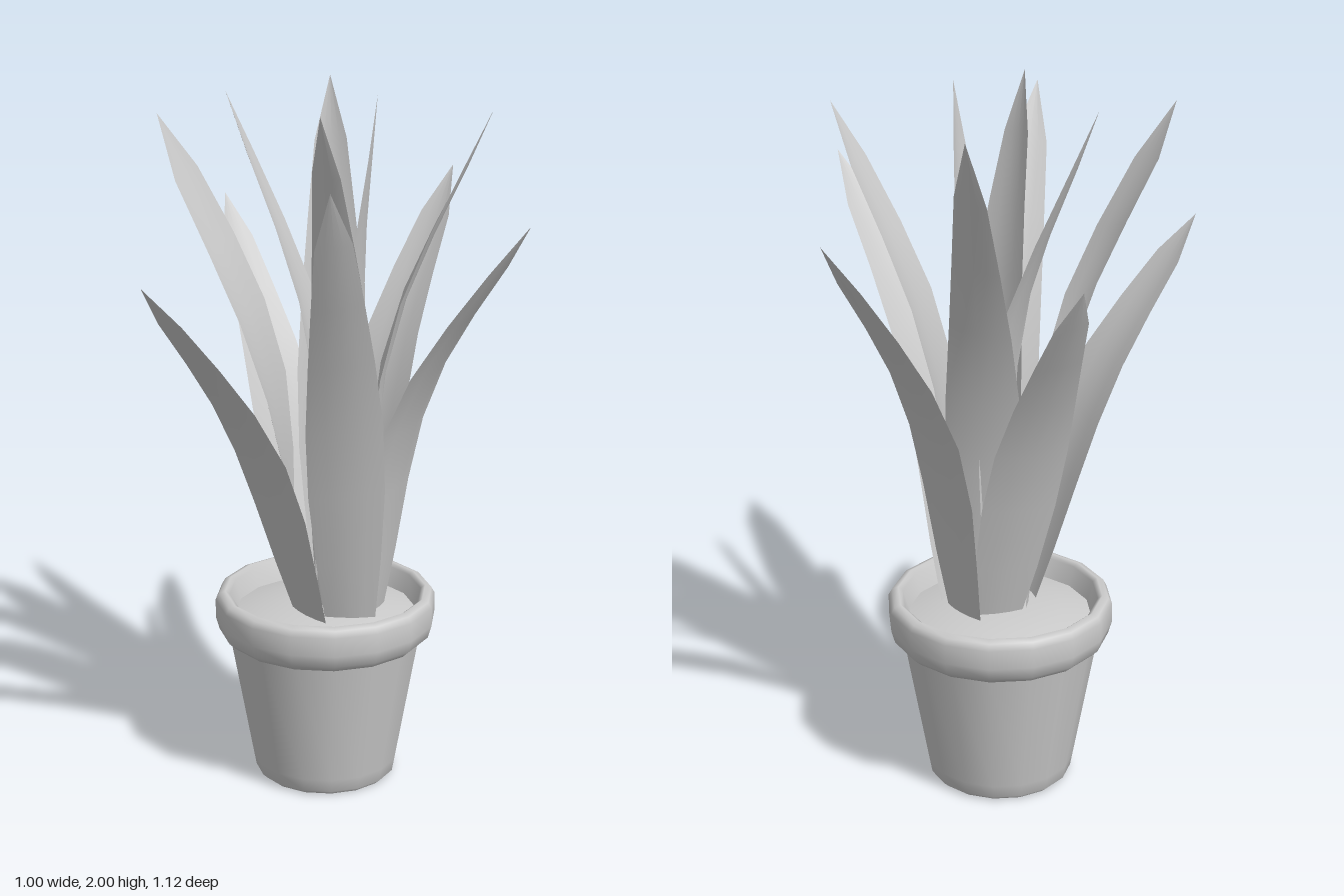
import * as THREE from 'three';

const grey = new THREE.MeshStandardMaterial({ color: 0xcccccc });
const leafGrey = new THREE.MeshStandardMaterial({ color: 0xcccccc, side: THREE.DoubleSide });

// Leaf width along its length: [position 0..1, width]
const WIDTHS = [[0, 0.14], [0.14, 0.18], [0.3, 0.212], [0.45, 0.212], [0.6, 0.18], [0.74, 0.142], [0.88, 0.1], [1, 0]];
const ACROSS = 4;

// A sword-shaped blade: rows of points across a curved spine, slightly cupped
// and twisting from the base heading to the tip heading
function leafGeometry(base, mid, tip, baseAngle, tipAngle) {
  const spine = new THREE.CatmullRomCurve3([base, mid, tip].map((p) => new THREE.Vector3(...p)));
  const positions = [], index = [];
  WIDTHS.forEach(([t, width], row) => {
    const a = THREE.MathUtils.degToRad(THREE.MathUtils.lerp(baseAngle, tipAngle, t));
    const side = new THREE.Vector3(Math.cos(a), 0, Math.sin(a));
    const centre = spine.getPoint(t);
    const tangent = spine.getTangent(t);
    const across = side.clone().addScaledVector(tangent, -side.dot(tangent)).normalize();
    const outward = across.clone().cross(tangent).normalize();
    for (let i = 0; i <= ACROSS; i++) {
      const u = (i / ACROSS) * 2 - 1;
      const p = centre.clone()
        .addScaledVector(across, u * width / 2)
        .addScaledVector(outward, (0.5 - u * u) * width * 0.07);
      positions.push(p.x, p.y, p.z);
      if (row && i) {
        const d = row * (ACROSS + 1) + i, c = d - 1, b = d - ACROSS - 1, e = b - 1;
        index.push(e, b, d, e, d, c);
      }
    }
  });
  const geometry = new THREE.BufferGeometry();
  geometry.setAttribute('position', new THREE.Float32BufferAttribute(positions, 3));
  geometry.setIndex(index);
  geometry.computeVertexNormals();
  return geometry;
}

// Each leaf: base, middle and tip of the spine, then the heading of its
// width at base and tip, in degrees from +x towards +z
const LEAVES = [
  [[0.065, 0.5, 0.02], [0.025, 1.2, 0.235], [-0.04, 1.86, 0.56], 0, -12],
  [[0.13, 0.5, -0.03], [0.225, 1.15, 0.085], [0.5, 1.71, 0.315], -52, -52],
  [[-0.05, 0.5, 0], [-0.22, 1.08, 0.13], [-0.505, 1.56, 0.29], 55, 48],
  [[-0.065, 0.5, -0.06], [-0.165, 1.28, 0.02], [-0.45, 1.96, 0], 82, 142],
  [[0.12, 0.5, -0.08], [0.18, 1.28, -0.095], [0.455, 1.95, -0.05], -92, -72],
  [[0, 0.5, -0.1], [-0.02, 1.28, -0.115], [-0.26, 1.98, -0.2], 118, 98],
  [[0.05, 0.5, -0.14], [0.04, 1.25, -0.235], [0.05, 1.97, -0.49], 178, 215],
  [[0.1, 0.5, -0.16], [0.185, 1.15, -0.28], [0.41, 1.7, -0.515], -135, -135],
  [[0.01, 0.5, -0.16], [-0.115, 1.12, -0.31], [-0.25, 1.62, -0.565], 162, 142],
  [[0.04, 0.5, -0.03], [0.03, 1.3, 0.06], [-0.035, 1.98, 0.2], 25, 50],
  [[0.07, 0.5, -0.08], [0.08, 1.3, -0.08], [0.135, 2, -0.005], -40, -85],
];

function lathe(name, profile) {
  const points = profile.map(([r, y]) => new THREE.Vector2(r, y));
  const mesh = new THREE.Mesh(new THREE.LatheGeometry(points, 16), grey);
  mesh.name = name;
  return mesh;
}

export function createModel() {
  const model = new THREE.Group();
  model.name = 'pottedPlant';

  // Tapered pot with a thick rolled rim and mounded soil
  const potGroup = new THREE.Group();
  potGroup.name = 'pot';
  potGroup.position.set(0.004, 0, -0.1);
  potGroup.add(
    lathe('potBase', [[0, 0.008], [0.19, 0]]),
    lathe('potBody', [[0.19, 0], [0.203, 0.012], [0.21, 0.05], [0.277, 0.43]]),
    lathe('potRim', [[0.265, 0.425], [0.285, 0.425], [0.306, 0.445], [0.316, 0.48], [0.316, 0.535],
      [0.306, 0.553], [0.288, 0.56], [0.275, 0.55], [0.25, 0.47]]),
    lathe('soil', [[0.258, 0.495], [0.18, 0.515], [0.09, 0.525], [0, 0.528]]),
  );
  model.add(potGroup);

  // Rosette of leaves
  const leaves = new THREE.Group();
  leaves.name = 'leaves';
  LEAVES.forEach((spec, i) => {
    const leaf = new THREE.Mesh(leafGeometry(...spec), leafGrey);
    leaf.name = `leaf${i + 1}`;
    leaves.add(leaf);
  });
  model.add(leaves);
  return model;
}
